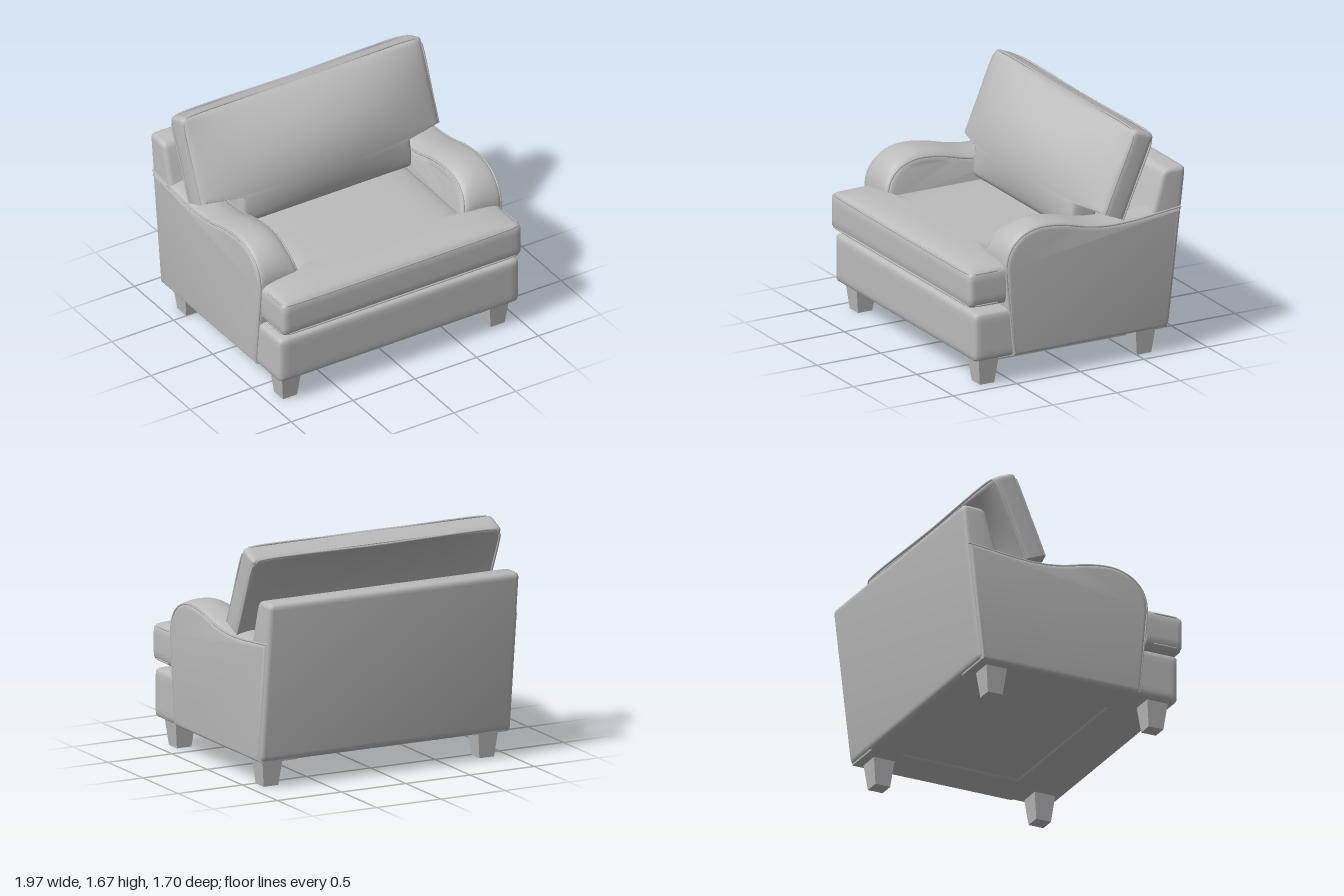
import * as THREE from 'three';
import { mergeVertices, toCreasedNormals } from 'three/addons/utils/BufferGeometryUtils.js';

const upholstery = new THREE.MeshStandardMaterial({ color: 0xbcbcbc });
upholstery.name = 'grey upholstery';

const clamp = THREE.MathUtils.clamp;

function add(parent, name, geometry) {
  const mesh = new THREE.Mesh(geometry, upholstery);
  mesh.name = name;
  parent.add(mesh);
  return mesh;
}

// Moves every vertex by a rule, then smooths the normals
function warp(geometry, rule, crease = 0.8) {
  const pos = geometry.attributes.position;
  const v = new THREE.Vector3();
  for (let i = 0; i < pos.count; i++) {
    v.fromBufferAttribute(pos, i);
    rule(v);
    pos.setXYZ(i, v.x, v.y, v.z);
  }
  geometry.deleteAttribute('normal');
  geometry.deleteAttribute('uv');
  geometry = mergeVertices(geometry, 1e-5);
  geometry.computeVertexNormals();
  return toCreasedNormals(geometry, crease);
}

// Finely divided box with rounded edges, shaped further by a rule
function softBox(w, h, d, r, segs, rule = () => {}) {
  const half = new THREE.Vector3(w / 2, h / 2, d / 2);
  const core = half.clone().subScalar(r);
  const inner = new THREE.Vector3();
  return warp(new THREE.BoxGeometry(w, h, d, ...segs), (v) => {
    v.divide(half);
    for (const k of ['x', 'y', 'z']) v[k] = 0.35 * v[k] + 0.65 * Math.sin(v[k] * Math.PI / 2);
    v.multiply(half);
    inner.copy(v).clamp(core.clone().negate(), core);
    v.sub(inner).setLength(r).add(inner);
    rule(v);
  });
}

// Polygon with rounded corners
function roundedPoly(corners, r) {
  const pts = corners.map(([x, y]) => new THREE.Vector2(x, y));
  const shape = new THREE.Shape();
  pts.forEach((p, i) => {
    const toward = (q) => q.clone().sub(p).setLength(r).add(p);
    const a = toward(pts[(i + pts.length - 1) % pts.length]);
    const b = toward(pts[(i + 1) % pts.length]);
    if (i) shape.lineTo(a.x, a.y); else shape.moveTo(a.x, a.y);
    shape.quadraticCurveTo(p.x, p.y, b.x, b.y);
  });
  shape.closePath();
  return shape;
}

// Extrudes a (z, y) side profile across x, centred on x = 0
function extrudeAcross(shape, width, bevel, steps) {
  const depth = width - 2 * bevel;
  const g = new THREE.ExtrudeGeometry(shape, {
    depth, steps, curveSegments: 5, bevelThickness: bevel, bevelSize: bevel,
    bevelOffset: -bevel, bevelSegments: 4,
  });
  return g.translate(0, 0, -depth / 2).rotateY(-Math.PI / 2);
}

function piping(points, closed = false) {
  const curve = new THREE.CatmullRomCurve3(points, closed, 'centripetal');
  return new THREE.TubeGeometry(curve, points.length * 4, 0.008, 6, closed);
}

// Crowned top and sloping inner side of an arm
function armRule(side) {
  return (v) => {
    const u = (v.x * side - 0.84) / 0.145;
    const drop = u < 0 ? 0.045 * u * u : 0.02 * u * u;
    const y = v.y;
    v.y -= drop * THREE.MathUtils.smoothstep(y, 0.75, 1.0);
    v.x -= side * 0.2 * clamp(1.06 - y, 0, 0.2) * clamp(0.5 - u / 2, 0, 1);
  };
}

const armTop = [[0.575, 0.82], [0.565, 0.92], [0.52, 1.01], [0.44, 1.08], [0.34, 1.115], [0.24, 1.12],
  [0.1, 1.1], [-0.08, 1.055], [-0.25, 1.035], [-0.45, 1.04], [-0.65, 1.06], [-0.805, 1.075]];

function buildArm(group, side) {
  const shape = new THREE.Shape();
  shape.moveTo(-0.705, 0.19);
  shape.lineTo(0.52, 0.19);
  shape.lineTo(...armTop[0]);
  shape.splineThru(armTop.slice(1).map(([z, y]) => new THREE.Vector2(z, y)));
  const rule = armRule(side);
  const g = extrudeAcross(shape, 0.29, 0.035, 10).translate(side * 0.84, 0, 0);
  const name = side > 0 ? 'left' : 'right';
  add(group, name + 'Arm', warp(g, rule));
  // Seams along the outer and inner edges of the arm
  for (const offset of [-0.134, 0.134]) {
    const path = [[0.515, 0.2], [0.545, 0.5], ...armTop].map(([z, y]) => {
      const v = new THREE.Vector3(side * (0.84 + offset), y, z - (y < 1 ? 0.01 : 0));
      if (y >= 1) v.y -= 0.01;
      rule(v);
      return v;
    });
    add(group, name + 'ArmPiping', piping(path));
  }
}

function buildSeatCushion(group) {
  const hw = 0.965, hd = 0.675, cz = 0.175;
  // T-shaped cushion with a crowned top and bottom
  const g = softBox(hw * 2, 0.25, hd * 2, 0.035, [32, 6, 40], (v) => {
    const crown = (1 - (v.x / hw) ** 8) * (1 - (v.z / hd) ** 8);
    v.y += 0.045 * clamp(crown, 0, 1) * clamp(v.y / 0.1, -1, 1);
    if (v.z + cz < 0.56) v.x *= 0.71;
  });
  add(group, 'seatCushion', g).position.set(0, 0.715, cz);
  for (const y of [0.6, 0.83]) {
    const outline = roundedPoly([[-0.955, 0.59], [0.955, 0.59], [0.955, 0.84], [-0.955, 0.84]], 0.05);
    const pts = outline.getPoints(4).slice(0, -1).map((p) => new THREE.Vector3(p.x, y, p.y));
    add(group, 'seatPiping', piping(pts, true));
  }
}

function buildBackCushion(group) {
  const cushion = new THREE.Group();
  cushion.name = 'backCushion';
  const hw = 0.97, hh = 0.425, ht = 0.085, notch = -0.2;
  // Puffed front and back, narrowed below to fit between the arms
  const g = softBox(hw * 2, hh * 2, ht * 2, 0.03, [36, 40, 6], (v) => {
    if (v.y < notch) v.x *= 0.71;
    const across = Math.cos(clamp(v.x / hw, -1, 1) * Math.PI / 2) ** 0.8;
    const up = Math.max(0, Math.cos(clamp(v.y / hh, -1, 1) * Math.PI / 2)) ** 0.7;
    v.z += (v.z > 0 ? 0.19 : 0.13) * across * up * clamp(v.z / ht, -1, 1) * Math.sign(v.z);
  });
  add(cushion, 'backCushionBody', g);
  // Seams down the sides and over the top
  for (const z of [-ht + 0.008, ht - 0.008]) {
    const x = hw - 0.008, y = hh - 0.008;
    const path = [[-x, notch], [-x, 0], [-x, y - 0.04], [-x + 0.012, y - 0.012], [-x + 0.04, y], [0, y],
      [x - 0.04, y], [x - 0.012, y - 0.012], [x, y - 0.04], [x, 0], [x, notch]];
    add(cushion, 'backCushionPiping', piping(path.map(([a, b]) => new THREE.Vector3(a, b, z))));
  }
  cushion.position.set(0, 1.237, -0.363);
  cushion.rotation.x = -0.4;
  group.add(cushion);
}

export function createModel() {
  const group = new THREE.Group();
  group.name = 'armchair';

  // Frame: front rail, underside and raked back
  add(group, 'frontRail', softBox(1.94, 0.35, 0.4, 0.035, [24, 10, 10])).position.set(0, 0.365, 0.612);
  add(group, 'chassis', new THREE.BoxGeometry(1.44, 0.38, 1.1)).position.set(0, 0.395, -0.08);
  const back = roundedPoly([[-0.45, 0.19], [-0.718, 0.19], [-0.852, 1.34], [-0.67, 1.335], [-0.595, 1.08], [-0.5, 0.8]], 0.05);
  add(group, 'backrest', warp(extrudeAcross(back, 1.95, 0.035, 1), () => {}));

  for (const side of [-1, 1]) buildArm(group, side);
  buildSeatCushion(group);
  buildBackCushion(group);

  // Tapered square legs
  for (const x of [-0.84, 0.84]) {
    for (const z of [0.675, -0.56]) {
      const leg = new THREE.CylinderGeometry(0.113, 0.08, 0.2, 4).rotateY(Math.PI / 4).toNonIndexed();
      leg.computeVertexNormals();
      add(group, z > 0 ? 'frontLeg' : 'backLeg', leg).position.set(x, 0.1, z);
    }
  }
  return group;
}
